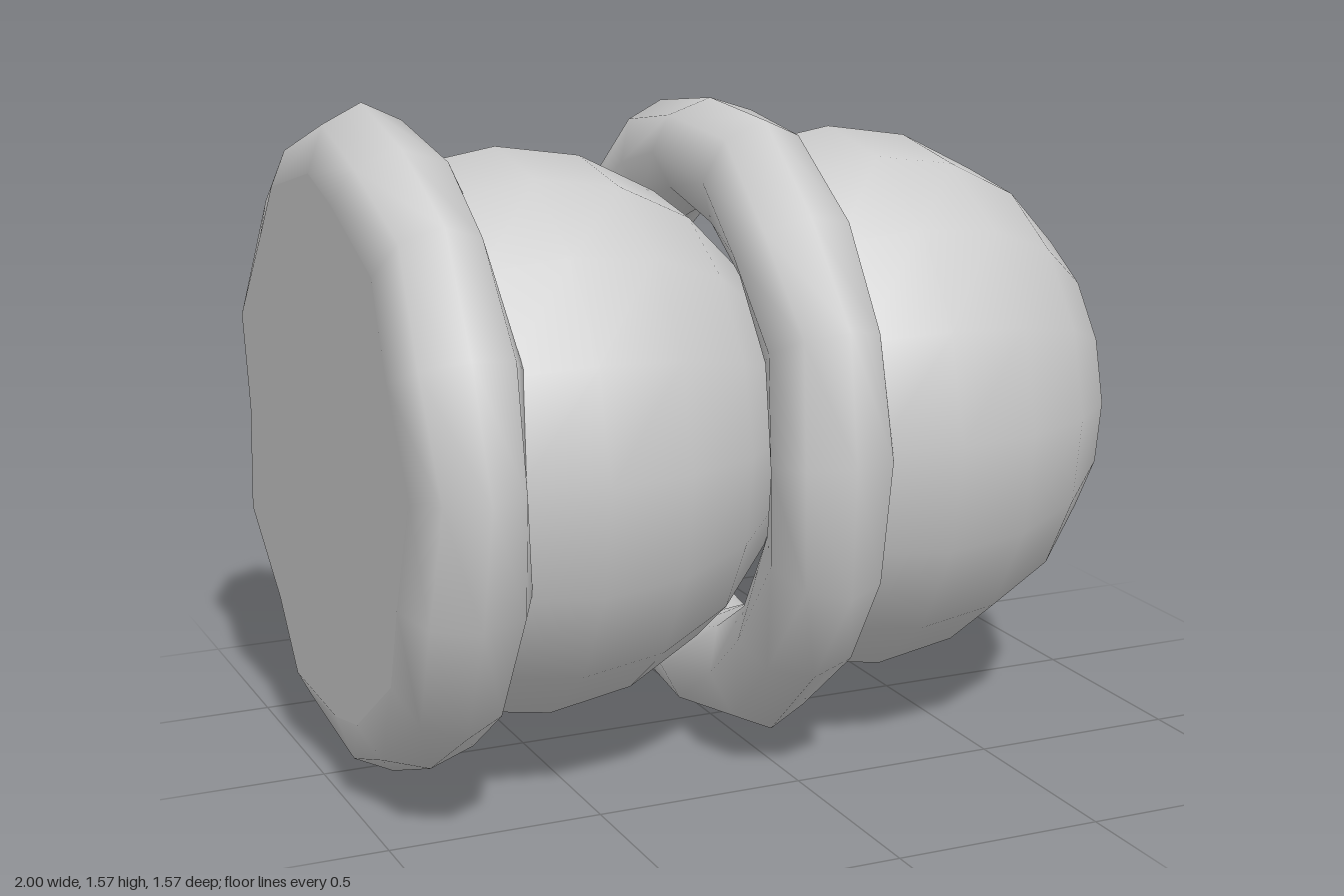
import * as THREE from 'three';

const SIDES = 16;
const RING_RADIUS = 0.635;
const AXIS_HEIGHT = 0.788;

// Tube half-width along x and half-thickness outward, alternating per section
const halfWidth = (wide) => (wide ? 0.153 : 0.132);
const halfDepth = (wide) => (wide ? 0.122 : 0.153);

// Uneven ring around the x axis, built from octagonal sections
function ringGeometry(phase) {
  const tube = 8, pos = [], index = [];
  for (let i = 0; i < SIDES; i++) {
    const phi = (i / SIDES) * Math.PI * 2;
    const wide = (i + phase) % 2 === 1;
    for (let j = 0; j < tube; j++) {
      const a = (j / tube) * Math.PI * 2;
      const r = RING_RADIUS + halfDepth(wide) * Math.sin(a);
      pos.push(halfWidth(wide) * Math.cos(a), r * Math.cos(phi), r * Math.sin(phi));
      const i2 = (i + 1) % SIDES, j2 = (j + 1) % tube;
      const p = i * tube + j, q = i * tube + j2, s = i2 * tube + j, t = i2 * tube + j2;
      index.push(p, q, s, q, t, s);
    }
  }
  const geo = new THREE.BufferGeometry();
  geo.setAttribute('position', new THREE.Float32BufferAttribute(pos, 3));
  geo.setIndex(index);
  geo.computeVertexNormals();
  return geo;
}

// Part of a sphere with its pole along +x; rows are 18 degrees apart
function domeGeometry(firstRow, rows) {
  const step = Math.PI / 10;
  const geo = new THREE.SphereGeometry(0.672, SIDES, rows, 0, Math.PI * 2, firstRow * step, rows * step);
  return geo.rotateZ(-Math.PI / 2);
}

// Flat disc that closes the ring along its outermost loop
function capGeometry() {
  const geo = new THREE.CircleGeometry(RING_RADIUS, SIDES).rotateY(-Math.PI / 2);
  const pos = geo.attributes.position;
  pos.setX(0, -0.142);
  for (let k = 1; k < pos.count; k++) pos.setX(k, -halfWidth((k - 1) % 2 === 1));
  return geo;
}

export function createModel() {
  const model = new THREE.Group();
  model.name = 'ringedCapsule';
  const material = new THREE.MeshStandardMaterial({ color: 0xcccccc });

  const add = (name, geometry, x, tilt) => {
    const mesh = new THREE.Mesh(geometry, material);
    mesh.name = name;
    mesh.position.set(x, AXIS_HEIGHT, 0);
    mesh.rotation.x = tilt;
    model.add(mesh);
  };

  // Rounded body
  add('endDome', domeGeometry(0, 7), 0.326, -0.038);
  add('middleBulge', domeGeometry(2, 5), -0.535, -0.038);

  // Rings and the flat end
  add('middleRing', ringGeometry(1), 0.012, -0.035);
  add('baseRing', ringGeometry(0), -0.845, -0.06);
  add('baseCap', capGeometry(), -0.845, -0.06);

  return model;
}
